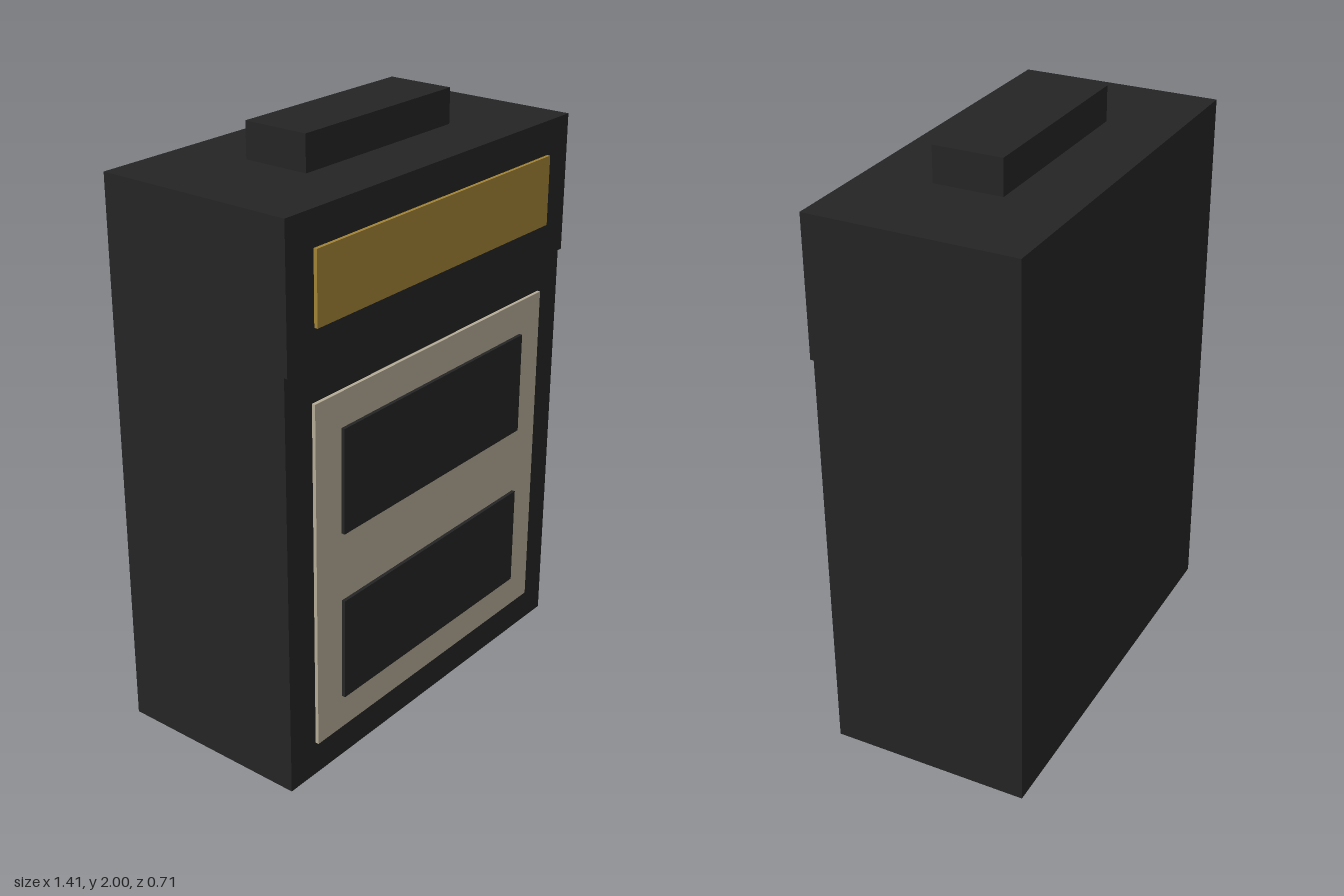
import * as THREE from 'three';

const SIDES = ['left', 'right', 'top', 'bottom', 'front', 'back'];

// Box between two corners, with the named sides left open
function openBox(x, y0, y1, z0, z1, open = []) {
  const g = new THREE.BoxGeometry(2 * x, y1 - y0, z1 - z0);
  const index = Array.from(g.index.array);
  g.setIndex(index.filter((_, i) => !open.includes(SIDES[Math.floor(i / 6)])));
  g.clearGroups();
  g.translate(0, (y0 + y1) / 2, (z0 + z1) / 2);
  return g;
}

export function createModel() {
  const group = new THREE.Group();
  const paint = (name, color) => {
    const m = new THREE.MeshStandardMaterial({ color, side: THREE.DoubleSide });
    m.name = name;
    return m;
  };
  const black = paint('black', 0x242424);
  const cream = paint('cream', 0xb4aa95);
  const gold = paint('gold', 0xa08236);

  const add = (name, material, ...box) => {
    const mesh = new THREE.Mesh(openBox(...box), material);
    mesh.name = name;
    group.add(mesh);
  };

  // Hollow case, open underneath, with a slightly deeper upper section
  add('body', black, 0.706, 0, 1.416, -0.353, 0.329, ['top', 'bottom']);
  add('header', black, 0.706, 1.416, 1.882, -0.353, 0.341);
  add('topHandle', black, 0.353, 1.882, 2, -0.116, 0.116, ['bottom']);

  // Front plates, pushed through the front wall and open at the back
  add('headerPlate', gold, 0.588, 1.533, 1.768, 0.25, 0.353, ['back']);
  add('frontPanel', cream, 0.588, 0.119, 1.296, 0.255, 0.341, ['back']);
  [0.237, 0.826].forEach((y, i) => {
    add(i ? 'upperWindow' : 'lowerWindow', black, 0.47, y, y + 0.353, 0.24, 0.353, ['back']);
  });

  return group;
}
